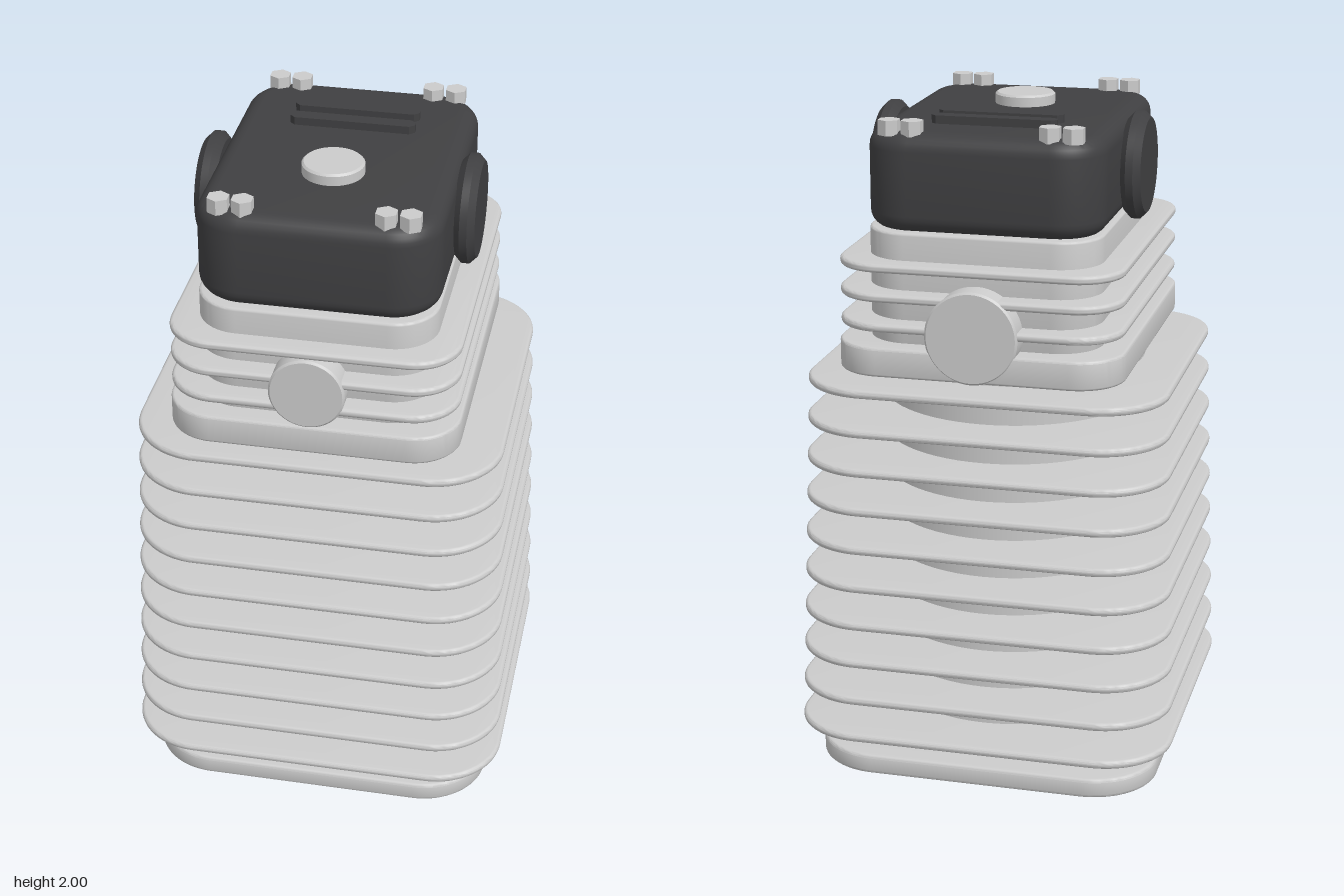
import * as THREE from 'three';
import { toCreasedNormals } from 'three/addons/utils/BufferGeometryUtils.js';

const grey = new THREE.MeshStandardMaterial({ color: 0xcccccc });
const dark = new THREE.MeshStandardMaterial({ color: 0x404042 });

// Rounded-rectangle slab lying flat, from y0 to y1, with rounded rims
function slabGeometry(hx, hz, r, y0, y1, bevel, steps = 3) {
  const s = new THREE.Shape();
  s.moveTo(hx, -hz + r);
  s.absarc(hx - r, hz - r, r, 0, Math.PI / 2);
  s.absarc(-hx + r, hz - r, r, Math.PI / 2, Math.PI);
  s.absarc(-hx + r, -hz + r, r, Math.PI, Math.PI * 1.5);
  s.absarc(hx - r, -hz + r, r, Math.PI * 1.5, Math.PI * 2);
  const g = new THREE.ExtrudeGeometry(s, {
    depth: y1 - y0 - 2 * bevel, curveSegments: 10, bevelEnabled: true,
    bevelSize: bevel, bevelThickness: bevel, bevelOffset: -bevel, bevelSegments: steps,
  });
  g.rotateX(-Math.PI / 2);
  g.translate(0, y0 + bevel, 0);
  return toCreasedNormals(g, 0.6);
}

// Solid disc with chamfered rims, along +y from 0 to h
function discGeometry(r, h, chamfer, sides = 48) {
  const pts = [[0, 0], [r - chamfer, 0], [r, chamfer], [r, h - chamfer], [r - chamfer, h], [0, h]];
  const g = new THREE.LatheGeometry(pts.map(([x, y]) => new THREE.Vector2(x, y)), sides);
  return toCreasedNormals(g, 0.5);
}

export function createModel() {
  const model = new THREE.Group();
  model.name = 'engineCylinder';
  const add = (name, geometry, material = grey, parent = model) => {
    const mesh = new THREE.Mesh(geometry, material);
    mesh.name = name;
    parent.add(mesh);
    return mesh;
  };
  const group = (name) => {
    const g = new THREE.Group();
    g.name = name;
    model.add(g);
    return g;
  };

  // Barrel with its mounting flange and tapering stack of fins
  add('baseFlange', slabGeometry(0.525, 0.525, 0.2, 0, 0.06, 0.01));
  add('barrel', new THREE.CylinderGeometry(0.4, 0.4, 1.22, 64)).position.y = 0.65;
  const barrelFins = group('barrelFins');
  for (let i = 0; i < 10; i++) {
    const y = 0.138 + i * 0.12, half = 0.577 - i * 0.0039;
    add('barrelFin', slabGeometry(half, half, 0.21, y - 0.0125, y + 0.0125, 0.01), grey, barrelFins);
  }

  // Cylinder head
  add('headFlange', slabGeometry(0.424, 0.53, 0.14, 1.273, 1.36, 0.008));
  add('headBody', slabGeometry(0.345, 0.463, 0.13, 1.34, 1.685, 0.008));
  const headFins = group('headFins');
  for (const y of [1.418, 1.506, 1.593]) {
    add('headFin', slabGeometry(0.42, 0.528, 0.14, y - 0.0125, y + 0.0125, 0.01), grey, headFins);
  }

  // Round ports: smaller at the front, larger at the back
  const frontPort = add('frontPort', discGeometry(0.11, 0.135, 0.006));
  frontPort.rotation.x = Math.PI / 2;
  frontPort.position.set(0, 1.47, 0.398);
  const backPort = add('backPort', discGeometry(0.137, 0.135, 0.006));
  backPort.rotation.x = -Math.PI / 2;
  backPort.position.set(0, 1.406, -0.398);

  // Dark valve cover with round side caps
  add('valveCover', slabGeometry(0.348, 0.453, 0.14, 1.68, 1.966, 0.05, 6), dark);
  for (const side of [-1, 1]) {
    const cap = add(side > 0 ? 'leftCap' : 'rightCap', discGeometry(0.159, 0.062, 0.02), dark);
    cap.rotation.z = -side * Math.PI / 2;
    cap.position.set(side * 0.345, 1.82, 0);
  }

  // Filler cap
  add('fillerCap', discGeometry(0.09, 0.05, 0.006)).position.set(0, 1.95, 0.13);

  // Raised ribs with tapered ends
  for (const z of [-0.245, -0.163]) {
    const s = new THREE.Shape([
      [0.185, -0.008], [0.185, 0.008], [0.17, 0.022], [-0.17, 0.022],
      [-0.185, 0.008], [-0.185, -0.008], [-0.17, -0.022], [0.17, -0.022],
    ].map(([x, y]) => new THREE.Vector2(x, y)));
    const g = new THREE.ExtrudeGeometry(s, { depth: 0.04, bevelEnabled: false });
    g.rotateX(-Math.PI / 2);
    add('coverRib', g, dark).position.set(0, 1.95, z);
  }

  // Pairs of hex bolts at the four corners
  const bolts = group('coverBolts');
  const hex = toCreasedNormals(new THREE.CylinderGeometry(0.033, 0.033, 0.044, 6), 0.3);
  for (const x of [-0.268, -0.2, 0.2, 0.268]) {
    for (const z of [-0.403, 0.4]) {
      add('bolt', hex, grey, bolts).position.set(x, 1.978, z);
    }
  }
  return model;
}
